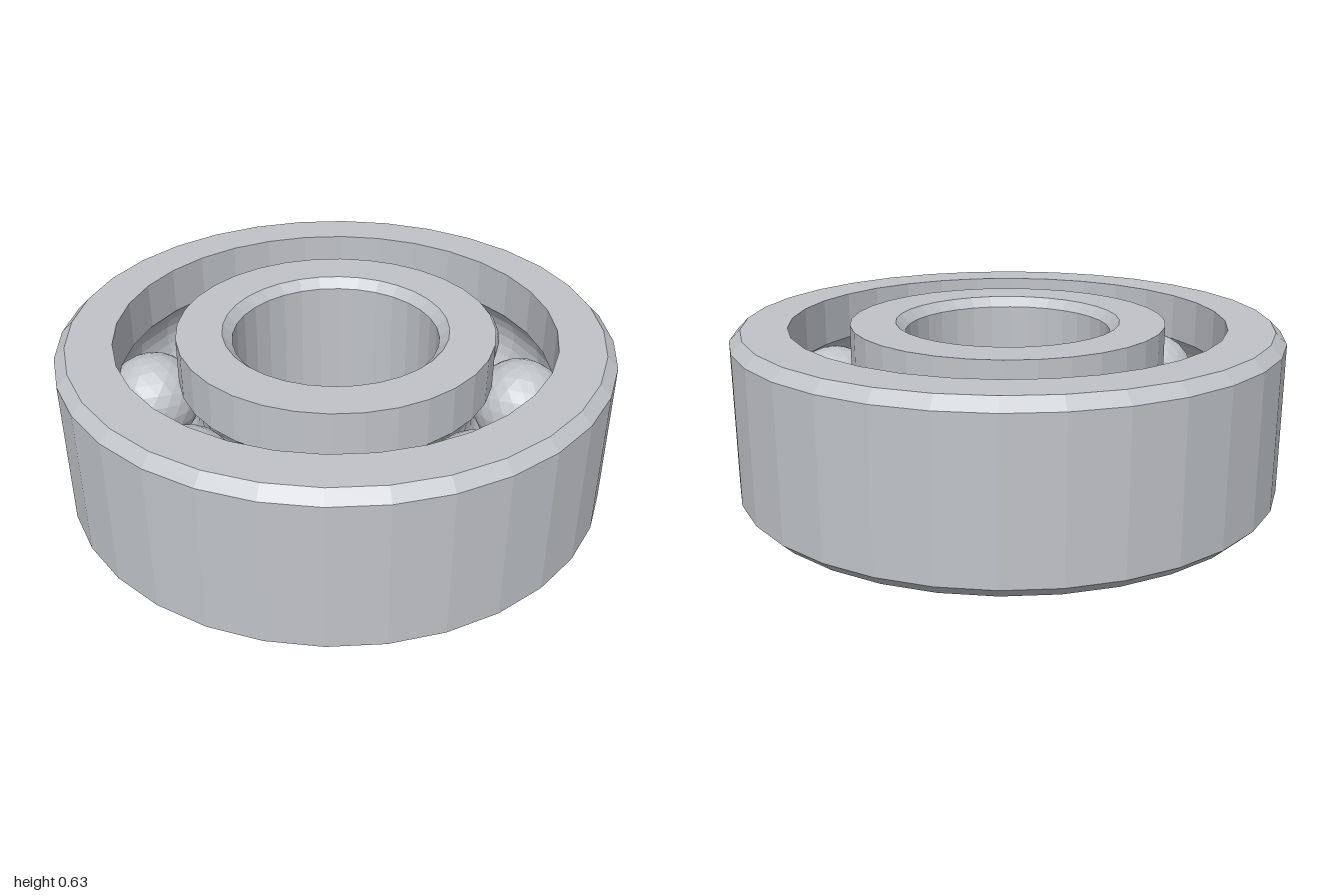
import * as THREE from 'three';

const H = 0.63, MID = H / 2;
const BALL_R = 0.172, PITCH = 0.685, GROOVE_R = 0.176;
const INNER_WALL = 0.575, OUTER_WALL = 0.795;

// Points of a raceway groove, listed from low y to high y; side is +1 (outer ring) or -1 (inner ring)
function groove(wall, side, steps = 8) {
  const half = Math.acos(Math.abs(wall - PITCH) / GROOVE_R);
  const points = [];
  for (let i = 0; i <= steps; i++) {
    const a = -half + (2 * half * i) / steps;
    points.push([PITCH + side * GROOVE_R * Math.cos(a), MID + GROOVE_R * Math.sin(a)]);
  }
  return points;
}

function ring(name, profile, material) {
  const points = profile.map(([r, y]) => new THREE.Vector2(r, y));
  const mesh = new THREE.Mesh(new THREE.LatheGeometry(points, 32), material);
  mesh.name = name;
  return mesh;
}

export function createModel() {
  const model = new THREE.Group();
  model.name = 'ballBearing';
  const steel = new THREE.MeshStandardMaterial({ color: 0xc0c3c8 });
  steel.name = 'steel';
  steel.flatShading = true;

  // Outer ring: chamfered outside, grooved inside
  model.add(ring('outerRing', [
    [OUTER_WALL, 0], [0.96, 0], [1, 0.04], [1, H - 0.04], [0.96, H], [OUTER_WALL, H],
    ...groove(OUTER_WALL, 1).reverse(), [OUTER_WALL, 0],
  ], steel));

  // Inner ring: grooved outside, chamfered bore
  model.add(ring('innerRing', [
    [0.41, 0], [INNER_WALL, 0], ...groove(INNER_WALL, -1), [INNER_WALL, H],
    [0.41, H], [0.375, H - 0.035], [0.375, 0.035], [0.41, 0],
  ], steel));

  // Eight balls, each with a vertex at its pole
  const ballGeometry = new THREE.IcosahedronGeometry(BALL_R, 3);
  ballGeometry.rotateZ(-Math.atan(2 / (1 + Math.sqrt(5))));
  const balls = new THREE.Group();
  balls.name = 'balls';
  for (let i = 0; i < 8; i++) {
    const a = (i * Math.PI) / 4;
    const ball = new THREE.Mesh(ballGeometry, steel);
    ball.name = 'ball';
    ball.position.set(PITCH * Math.cos(a), MID, PITCH * Math.sin(a));
    ball.rotation.y = -a;
    balls.add(ball);
  }
  model.add(balls);
  return model;
}
